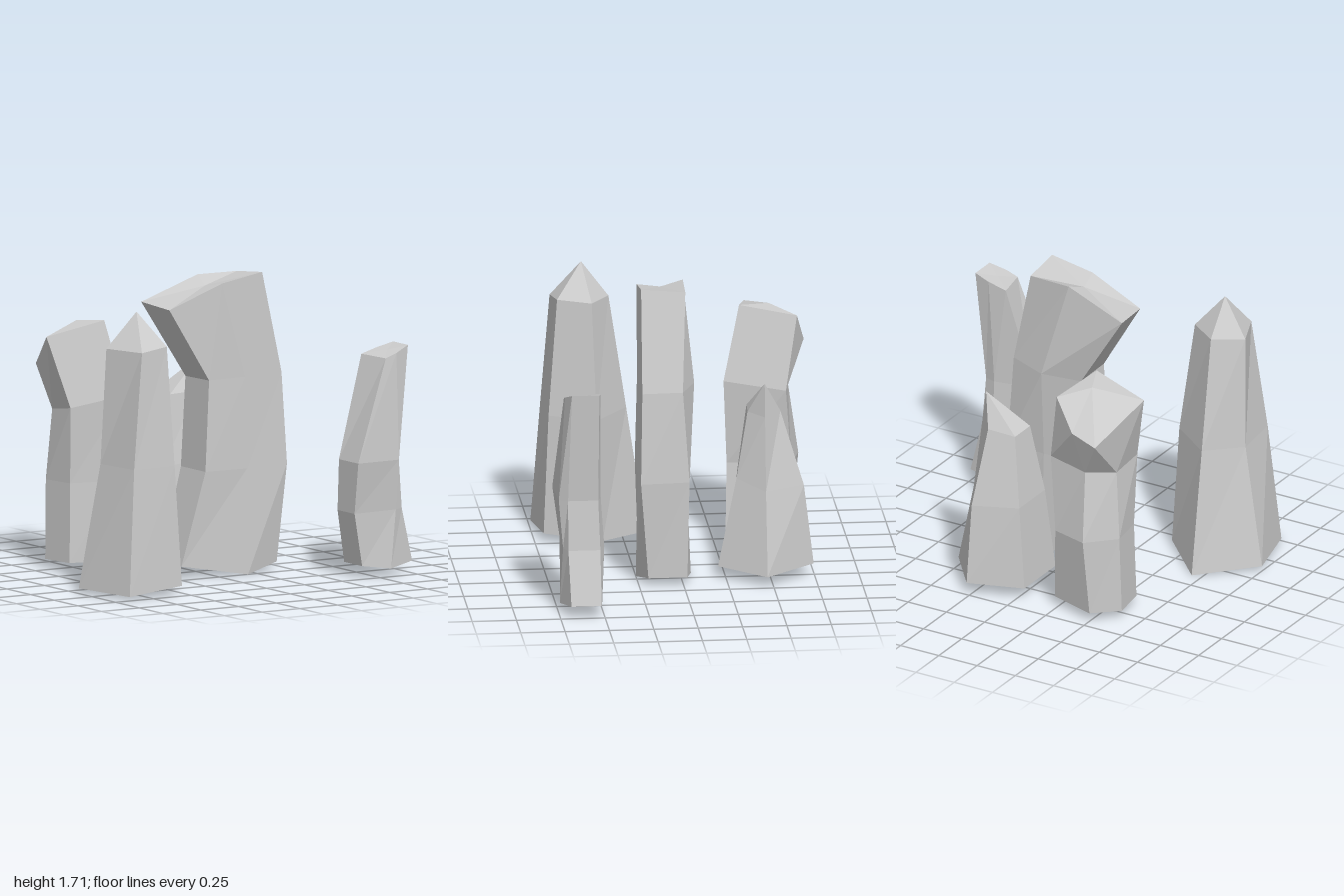
import * as THREE from 'three';

const material = new THREE.MeshStandardMaterial({ color: 0xcccccc, flatShading: true });

// Average of a ring of corners
const centreOf = ring => [0, 1, 2].map(k => ring.reduce((s, p) => s + p[k], 0) / ring.length);

// Skins rings of [x, y, z] corners (anticlockwise from above, lowest first)
// and closes both ends with fans; tip is the middle point of the top fan.
function rock(name, rings, tip) {
  const pos = [];
  const tri = (a, b, c) => pos.push(...a, ...b, ...c);
  const n = rings[0].length;
  const first = rings[0], last = rings[rings.length - 1];
  const foot = centreOf(first), head = tip || centreOf(last);
  for (let i = 0; i < n; i++) {
    const j = (i + 1) % n;
    for (let r = 0; r < rings.length - 1; r++) {
      const lo = rings[r], hi = rings[r + 1];
      tri(lo[i], lo[j], hi[j]);
      tri(lo[i], hi[j], hi[i]);
    }
    tri(foot, first[j], first[i]);
    tri(head, last[i], last[j]);
  }
  const geometry = new THREE.BufferGeometry();
  geometry.setAttribute('position', new THREE.Float32BufferAttribute(pos, 3));
  geometry.computeVertexNormals();
  const mesh = new THREE.Mesh(geometry, material);
  mesh.name = name;
  return mesh;
}

export function createModel() {
  const group = new THREE.Group();
  group.name = 'standingStones';

  // Tall five-sided spire: back, right, front right, front left, left corners
  group.add(rock('tallSpire', [
    [[-0.69, 0, 0.11], [-1, 0.03, 0.36], [-0.9, 0.02, 0.74], [-0.53, 0.05, 0.7], [-0.4, 0.035, 0.38]],
    [[-0.69, 0.73, 0.22], [-0.875, 0.73, 0.39], [-0.84, 0.73, 0.69], [-0.56, 0.73, 0.67], [-0.43, 0.73, 0.41]],
    [[-0.69, 1.385, 0.32], [-0.855, 1.385, 0.42], [-0.76, 1.38, 0.645], [-0.58, 1.4, 0.62], [-0.52, 1.39, 0.43]],
  ], [-0.69, 1.59, 0.475]));

  // Short five-sided spire with a leaning tip
  group.add(rock('shortSpire', [
    [[-0.045, 0.07, -0.64], [-0.045, 0.07, -0.3], [0.275, 0.07, -0.205], [0.49, 0.06, -0.465], [0.27, 0.07, -0.745]],
    [[0, 0.55, -0.62], [0, 0.55, -0.34], [0.27, 0.58, -0.31], [0.39, 0.53, -0.465], [0.27, 0.53, -0.69]],
    [[0.07, 0.95, -0.55], [0.07, 0.95, -0.385], [0.24, 0.96, -0.375], [0.335, 0.95, -0.465], [0.24, 0.96, -0.56]],
  ], [0.31, 1.14, -0.465]));

  // Great curved slab: front edge three corners, then back edge three corners
  group.add(rock('curvedSlab', [
    [[-0.22, 0.07, 0.2], [0.19, 0, 0.25], [0.41, 0.05, 0.2], [0.41, 0.05, -0.02], [0.19, 0.01, -0.06], [-0.22, 0.07, -0.02]],
    [[-0.08, 0.6, 0.23], [0.19, 0.6, 0.24], [0.45, 0.61, 0.245], [0.43, 0.61, -0.03], [0.19, 0.6, -0.035], [-0.08, 0.6, -0.03]],
    [[-0.05, 1.115, 0.22], [0.18, 1.12, 0.235], [0.42, 1.13, 0.235], [0.41, 1.13, 0.005], [0.18, 1.12, -0.08], [-0.05, 1.11, -0.03]],
    [[-0.3, 1.53, 0.2], [0.03, 1.66, 0.23], [0.295, 1.705, 0.23], [0.285, 1.68, -0.02], [0.03, 1.68, -0.03], [-0.33, 1.55, -0.05]],
  ]));

  // Bent pillar whose head overhangs at the rear
  group.add(rock('bentPillar', [
    [[-0.61, 0.05, -0.36], [-0.28, 0.05, -0.3], [-0.22, 0.05, -0.6], [-0.5, 0.05, -0.69], [-0.64, 0.05, -0.57]],
    [[-0.6, 0.5, -0.37], [-0.315, 0.5, -0.31], [-0.265, 0.5, -0.67], [-0.48, 0.5, -0.73], [-0.63, 0.5, -0.58]],
    [[-0.61, 0.93, -0.35], [-0.285, 0.985, -0.29], [-0.215, 0.94, -0.635], [-0.46, 0.91, -0.67], [-0.6, 0.9, -0.56]],
    [[-0.71, 1.33, -0.445], [-0.365, 1.405, -0.385], [-0.295, 1.355, -0.705], [-0.425, 1.18, -0.755], [-0.58, 1.13, -0.765]],
  ], [-0.44, 1.39, -0.56]));

  // Small six-sided shard leaning to its left
  group.add(rock('leaningShard', [
    [[0.65, 0.07, 0.72], [0.83, 0.045, 0.74], [1, 0.07, 0.69], [1, 0.07, 0.52], [0.83, 0.045, 0.5], [0.65, 0.07, 0.53]],
    [[0.6, 0.37, 0.72], [0.87, 0.375, 0.725], [0.925, 0.375, 0.7], [0.925, 0.375, 0.52], [0.84, 0.375, 0.49], [0.6, 0.37, 0.54]],
    [[0.6, 0.66, 0.76], [0.875, 0.66, 0.75], [0.905, 0.66, 0.7], [0.905, 0.66, 0.53], [0.84, 0.66, 0.51], [0.6, 0.66, 0.555]],
    [[0.81, 1.235, 0.715], [0.88, 1.26, 0.715], [0.975, 1.295, 0.685], [0.975, 1.295, 0.53], [0.88, 1.27, 0.515], [0.77, 1.24, 0.52]],
  ]));

  return group;
}
